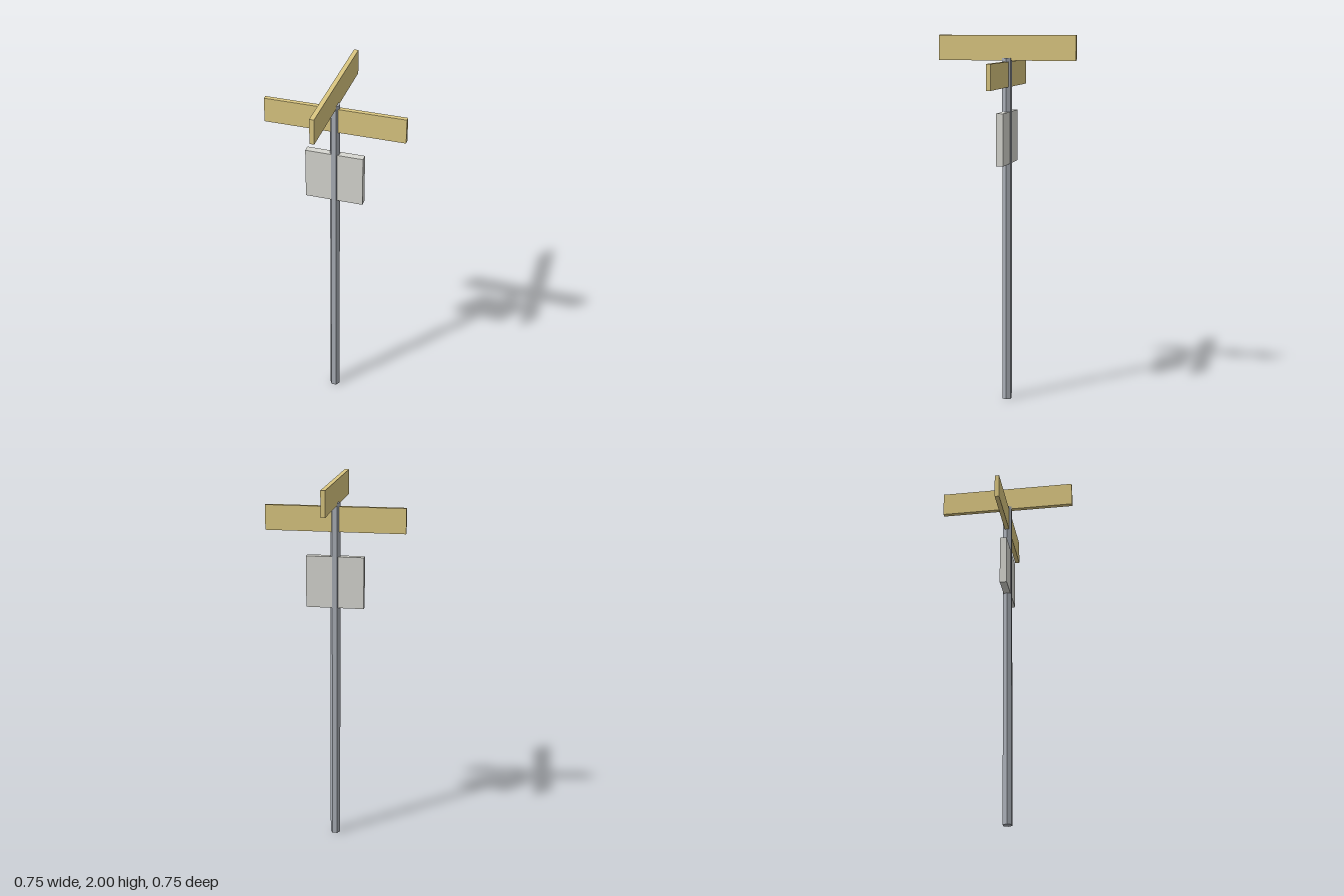
import * as THREE from 'three';

const paint = (color) => new THREE.MeshStandardMaterial({ color, flatShading: true });

export function createModel() {
  const model = new THREE.Group();
  model.name = 'streetSignPost';
  const yellow = paint(0xdcc882);

  const add = (name, geometry, material, y) => {
    const mesh = new THREE.Mesh(geometry, material);
    mesh.name = name;
    mesh.position.y = y;
    model.add(mesh);
    return mesh;
  };

  // Hexagonal pole with its corners pointing to the sides
  const poleHeight = 1.88;
  add('pole', new THREE.CylinderGeometry(0.027, 0.027, poleHeight, 6, 1, false, Math.PI / 2),
    paint(0xa9aeb6), poleHeight / 2);

  // Two crossed street name blades
  const blade = new THREE.BoxGeometry(0.748, 0.134, 0.024);
  add('lowerBlade', blade, yellow, 1.793);
  add('upperBlade', blade, yellow, 1.933).rotation.y = Math.PI / 2;

  // Square plate around the pole
  add('plate', new THREE.BoxGeometry(0.31, 0.278, 0.038), paint(0xd8d8d2), 1.456);

  return model;
}
